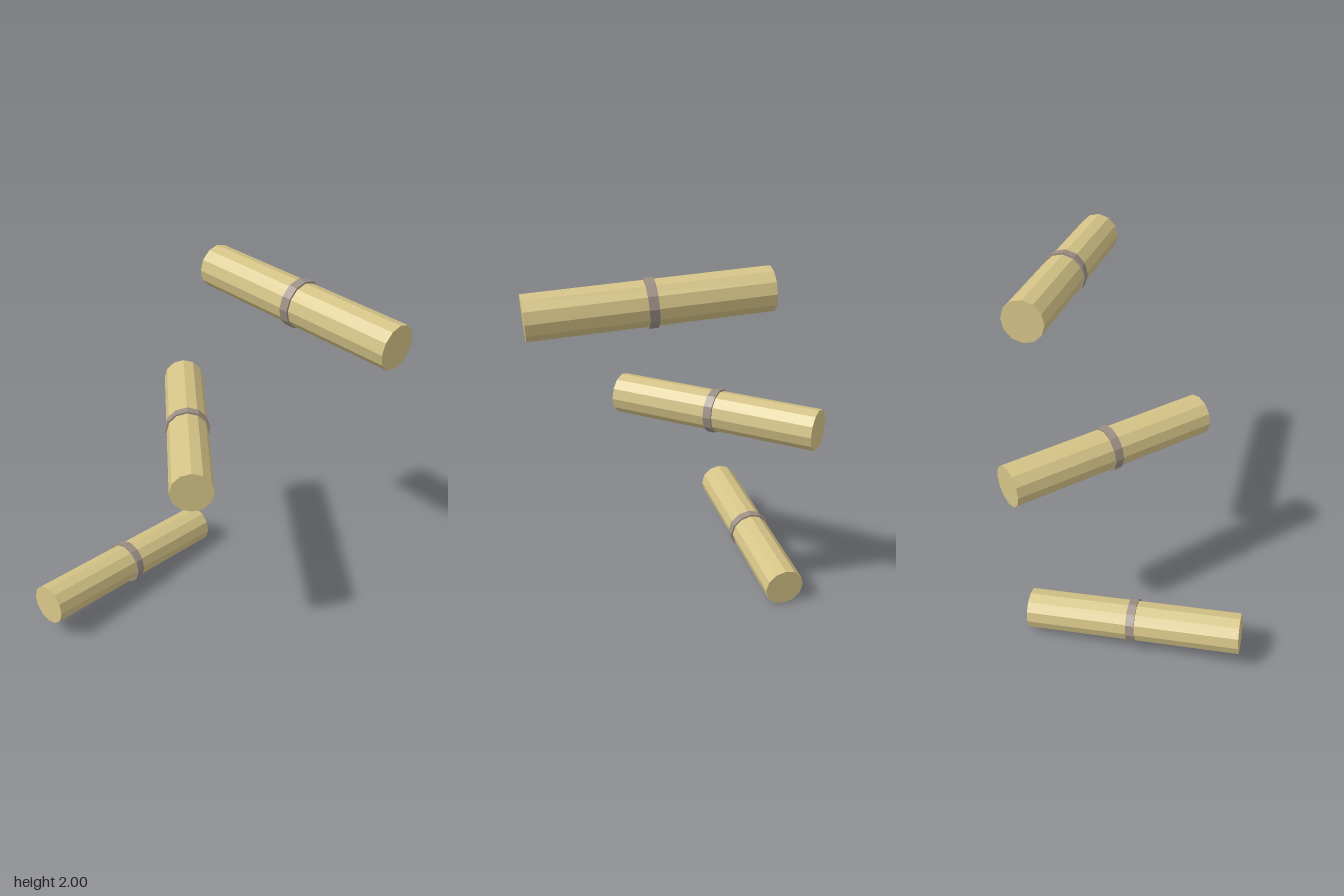
import * as THREE from 'three';

export function createModel() {
  const model = new THREE.Group();
  model.name = 'floatingRolls';

  const tan = new THREE.MeshStandardMaterial({ color: 0xd4c387, flatShading: true });
  tan.name = 'tan';
  const greyBrown = new THREE.MeshStandardMaterial({ color: 0x9c8f84, flatShading: true });
  greyBrown.name = 'greyBrown';

  // Twelve-sided roll and band, lying along z
  const rollGeometry = new THREE.CylinderGeometry(0.112, 0.112, 1.184, 12).rotateX(Math.PI / 2);
  const bandGeometry = new THREE.CylinderGeometry(0.122, 0.122, 0.047, 12).rotateX(Math.PI / 2);

  // Centre of each roll and the centre of its front end
  const rolls = [
    ['upperRoll', [0.431, 1.861, -0.003], [0.875, 1.832, 0.388]],
    ['middleRoll', [-0.133, 1.108, -0.002], [-0.045, 1.108, 0.583]],
    ['lowerRoll', [-0.508, 0.164, -0.002], [-0.865, 0.212, 0.464]],
  ];

  for (const [name, centre, end] of rolls) {
    const group = new THREE.Group();
    group.name = name;
    const roll = new THREE.Mesh(rollGeometry, tan);
    roll.name = 'roll';
    const band = new THREE.Mesh(bandGeometry, greyBrown);
    band.name = 'band';
    group.add(roll, band);
    group.position.set(...centre);
    group.lookAt(...end);
    model.add(group);
  }
  return model;
}
